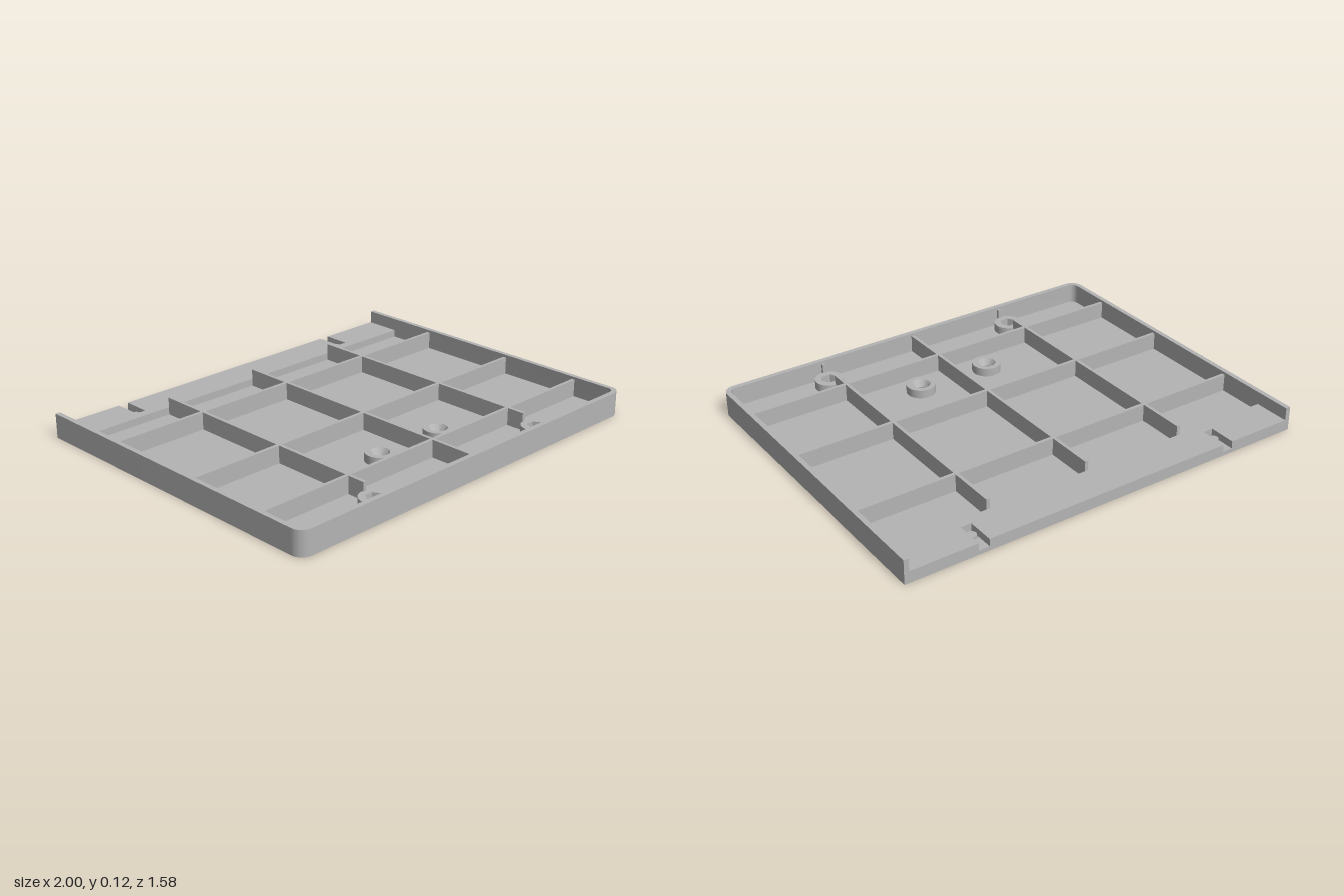
import * as THREE from 'three';
import { toCreasedNormals } from 'three/addons/utils/BufferGeometryUtils.js';

const FLOOR = 0.02, LEDGE = 0.055, RIB = 0.102, TOP = 0.115, BOSS = 0.06;
const BACK = -0.79, FRONT = 0.79, LEDGE_FRONT = -0.615;
const HOLE = 0.022;

export function createModel() {
  const model = new THREE.Group();
  const plastic = new THREE.MeshStandardMaterial({ color: 0xb4b4b4 });
  plastic.name = 'grey plastic';

  const add = (name, geometry) => {
    const mesh = new THREE.Mesh(geometry, plastic);
    mesh.name = name;
    model.add(mesh);
    return mesh;
  };

  // Plan outline (x, z) raised from y0 to y1
  const slab = (name, shape, y0, y1) => {
    const g = new THREE.ExtrudeGeometry(shape, { depth: y1 - y0, bevelEnabled: false, curveSegments: 16 });
    g.rotateX(Math.PI / 2).translate(0, y1, 0);
    return add(name, toCreasedNormals(g, 0.6));
  };

  const box = (name, x0, x1, y0, y1, z0, z1) => {
    const g = new THREE.BoxGeometry(x1 - x0, y1 - y0, z1 - z0);
    g.translate((x0 + x1) / 2, (y0 + y1) / 2, (z0 + z1) / 2);
    return add(name, g);
  };

  const circle = (x, z, r) => new THREE.Path().absarc(x, z, r, 0, Math.PI * 2, true);

  // Traces the rounded front edge from the back right to the back left
  const traceFront = (s, w, front, r) => {
    s.lineTo(w, front - r);
    s.absarc(w - r, front - r, r, 0, Math.PI / 2, false);
    s.lineTo(-w + r, front);
    s.absarc(-w + r, front - r, r, Math.PI / 2, Math.PI, false);
    s.lineTo(-w, BACK);
  };

  // Floor plate with four screw holes
  const screwHoles = [[-0.185, 0.405], [0.18, 0.405]];
  const nutHoles = [[-0.51, 0.69], [0.507, 0.69]];
  const plate = new THREE.Shape().moveTo(1, BACK);
  traceFront(plate, 1, FRONT, 0.055);
  plate.closePath();
  for (const [x, z] of [...screwHoles, ...nutHoles]) plate.holes.push(circle(x, z, HOLE));
  slab('floor', plate, 0, FLOOR);

  // Rim around the front and both sides
  const inner = 0.977, innerFront = 0.766, r = 0.032;
  const rim = new THREE.Shape().moveTo(1, BACK);
  traceFront(rim, 1, FRONT, 0.055);
  rim.lineTo(-inner, BACK);
  rim.lineTo(-inner, innerFront - r);
  rim.absarc(-inner + r, innerFront - r, r, Math.PI, Math.PI / 2, true);
  rim.lineTo(inner - r, innerFront);
  rim.absarc(inner - r, innerFront - r, r, Math.PI / 2, 0, true);
  rim.lineTo(inner, BACK);
  rim.closePath();
  slab('rim', rim, FLOOR, TOP);

  // Raised back ledge with two open slots
  const ledge = new THREE.Shape().moveTo(-inner, BACK);
  for (const x of [-0.637, 0.635]) {
    ledge.lineTo(x - 0.025, BACK);
    ledge.lineTo(x - 0.025, -0.66);
    ledge.lineTo(x + 0.025, -0.66);
    ledge.lineTo(x + 0.025, BACK);
    const peg = new THREE.CylinderGeometry(0.022, 0.022, 0.015, 24);
    peg.translate(x, FLOOR + 0.0075, -0.7);
    add('slotPeg', peg);
  }
  ledge.lineTo(inner, BACK);
  ledge.lineTo(inner, LEDGE_FRONT);
  ledge.lineTo(-inner, LEDGE_FRONT);
  ledge.closePath();
  slab('backLedge', ledge, FLOOR, LEDGE);

  // Stiffening ribs; the outer lengthwise ones break around the nut bosses
  const t = 0.008;
  for (const z of [-0.38, 0.122, 0.535]) box('crossRib', -inner, inner, FLOOR, RIB, z - t, z + t);
  box('lengthRib', -t, t, FLOOR, RIB, LEDGE_FRONT, innerFront);
  for (const x of [-0.503, 0.498]) {
    box('lengthRib', x - t, x + t, FLOOR, RIB, LEDGE_FRONT, 0.628);
    box('ribStub', x - t, x + t, FLOOR, RIB, 0.752, innerFront);
  }

  // Countersunk screw bosses
  const profile = [[0.068, FLOOR], [0.068, BOSS], [0.043, BOSS], [HOLE, 0.03], [HOLE, FLOOR]]
    .map(([x, y]) => new THREE.Vector2(x, y));
  for (const [x, z] of screwHoles) {
    const g = toCreasedNormals(new THREE.LatheGeometry(profile, 40), 0.5);
    add('screwBoss', g).position.set(x, 0, z);
  }

  // Bosses with hexagonal nut pockets
  for (const [x, z] of nutHoles) {
    const ring = new THREE.Shape().absarc(x, z, 0.068, 0, Math.PI * 2, false);
    const hex = [];
    for (let i = 0; i < 6; i++) {
      const a = -i * Math.PI / 3;
      hex.push(new THREE.Vector2(x + 0.04 * Math.cos(a), z + 0.04 * Math.sin(a)));
    }
    ring.holes.push(new THREE.Path(hex).closePath());
    slab('nutBoss', ring, FLOOR, BOSS);
  }

  return model;
}
